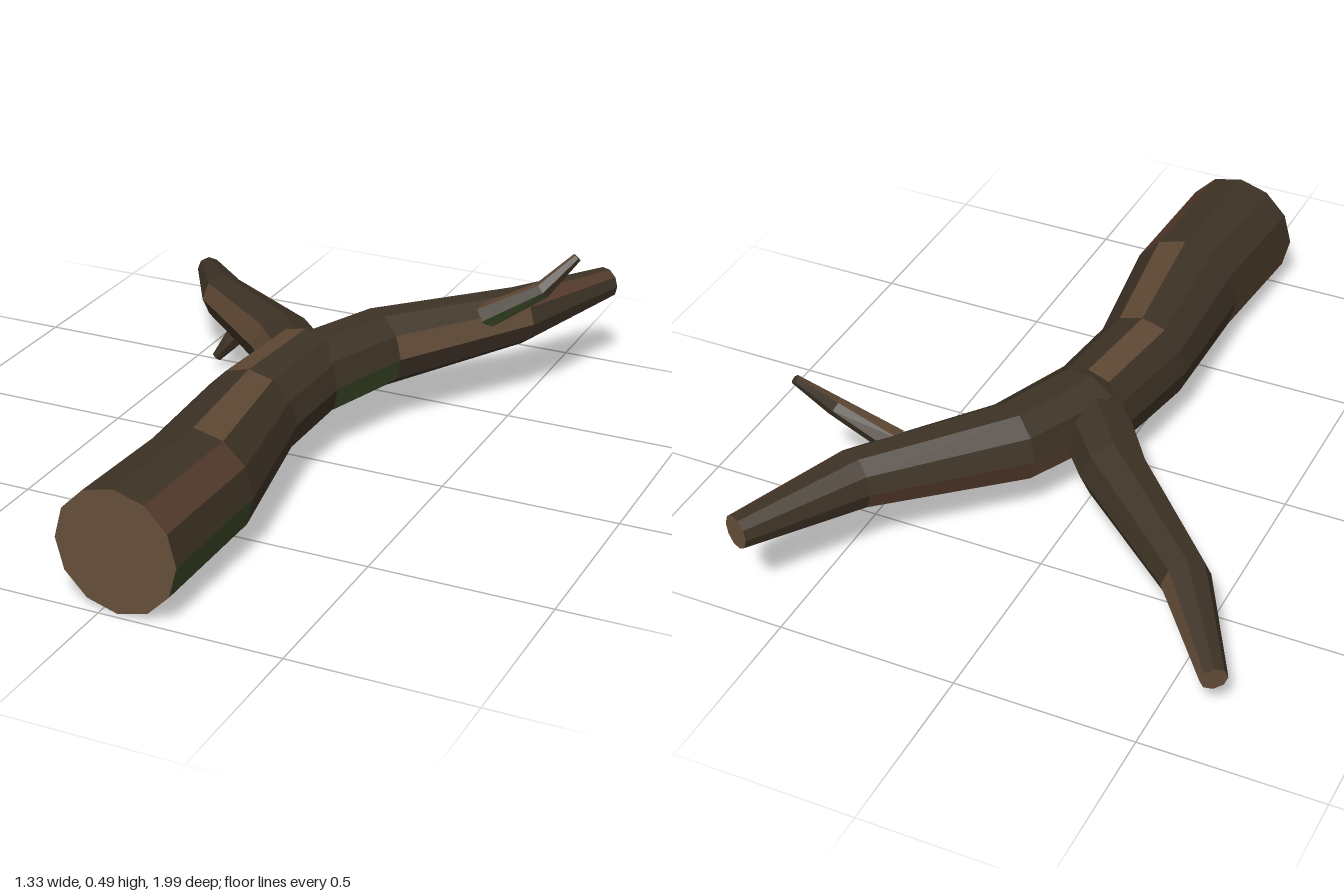
import * as THREE from 'three';

const make = (name, color) => {
  const m = new THREE.MeshStandardMaterial({ color });
  m.name = name;
  return m;
};

// A faceted tapering limb. Each station is [x, y, z, radius].
// patches maps "segment,side" to a material index; caps are [start, end] indices.
function limb(name, materials, stations, sides, patches = {}, caps = [0, 0]) {
  const Y = new THREE.Vector3(0, 1, 0);
  const centres = stations.map(([x, y, z]) => new THREE.Vector3(x, y, z));
  const last = centres.length - 1;

  // Rings lie square to the averaged direction of their neighbours
  const rings = centres.map((c, i) => {
    const before = i > 0 ? c.clone().sub(centres[i - 1]).normalize() : new THREE.Vector3();
    const after = i < last ? centres[i + 1].clone().sub(c).normalize() : new THREE.Vector3();
    const dir = before.add(after).normalize();
    const side = dir.clone().cross(Y).normalize();
    const up = side.clone().cross(dir);
    return Array.from({ length: sides }, (_, k) => {
      const a = (k / sides) * Math.PI * 2;
      return c.clone()
        .addScaledVector(side, Math.cos(a) * stations[i][3])
        .addScaledVector(up, Math.sin(a) * stations[i][3]);
    });
  });

  const buckets = materials.map(() => []);
  for (let k = 0; k < sides; k++) {
    const n = (k + 1) % sides;
    for (let i = 0; i < last; i++) {
      const a = rings[i][k], b = rings[i][n], c = rings[i + 1][n], d = rings[i + 1][k];
      buckets[patches[`${i},${k}`] ?? 0].push(a, d, c, a, c, b);
    }
    buckets[caps[0]].push(centres[0], rings[0][k], rings[0][n]);
    buckets[caps[1]].push(centres[last], rings[last][n], rings[last][k]);
  }

  const geometry = new THREE.BufferGeometry().setFromPoints(buckets.flat());
  let start = 0;
  buckets.forEach((points, m) => {
    if (points.length) geometry.addGroup(start, points.length, m);
    start += points.length;
  });
  geometry.computeVertexNormals();
  const mesh = new THREE.Mesh(geometry, materials);
  mesh.name = name;
  return mesh;
}

export function createModel() {
  const materials = [
    make('bark', 0x3d3225),
    make('lightBark', 0x5f4834),
    make('redBark', 0x533a2c),
    make('moss', 0x3c4a27),
    make('cutWood', 0x664f3a),
  ];
  const LIGHT = 1, RED = 2, MOSS = 3, CUT = 4;
  const group = new THREE.Group();
  group.name = 'forkedLog';

  group.add(
    // Thick main log with a sawn front end
    limb('trunk', materials, [
      [0.045, 0.176, 0.988, 0.172],
      [0.062, 0.184, 0.6, 0.165],
      [0.022, 0.203, 0.2, 0.139],
      [0.052, 0.222, -0.095, 0.13],
    ], 12, {
      '0,1': RED, '0,11': MOSS, '0,6': LIGHT,
      '1,2': LIGHT, '2,3': LIGHT, '2,9': RED,
    }, [CUT, 0]),

    // Larger fork
    limb('leftBranch', materials, [
      [0.06, 0.22, -0.05, 0.12],
      [0.17, 0.23, -0.315, 0.112],
      [0.46, 0.252, -0.652, 0.083],
      [0.62, 0.264, -0.978, 0.047],
    ], 10, {
      '0,9': MOSS, '0,5': LIGHT, '1,0': LIGHT, '1,5': RED, '2,1': RED,
    }, [0, CUT]),

    // Smaller fork
    limb('rightBranch', materials, [
      [0.005, 0.21, -0.14, 0.1],
      [-0.11, 0.203, -0.28, 0.093],
      [-0.45, 0.175, -0.58, 0.068],
      [-0.64, 0.139, -0.85, 0.036],
    ], 8, {
      '0,3': LIGHT, '0,7': MOSS, '1,3': LIGHT, '2,4': RED, '2,0': LIGHT,
    }, [0, CUT]),

    // Short twigs
    limb('leftTwig', materials, [
      [0.41, 0.29, -0.515, 0.038],
      [0.57, 0.388, -0.55, 0.026],
      [0.65, 0.482, -0.6, 0.013],
    ], 6, { '0,1': LIGHT, '1,1': LIGHT, '0,5': MOSS, '0,4': MOSS }),
    limb('rightTwig', materials, [
      [-0.325, 0.15, -0.455, 0.034],
      [-0.36, 0.1, -0.44, 0.027],
      [-0.4, 0.047, -0.43, 0.016],
    ], 6),
  );
  return group;
}
